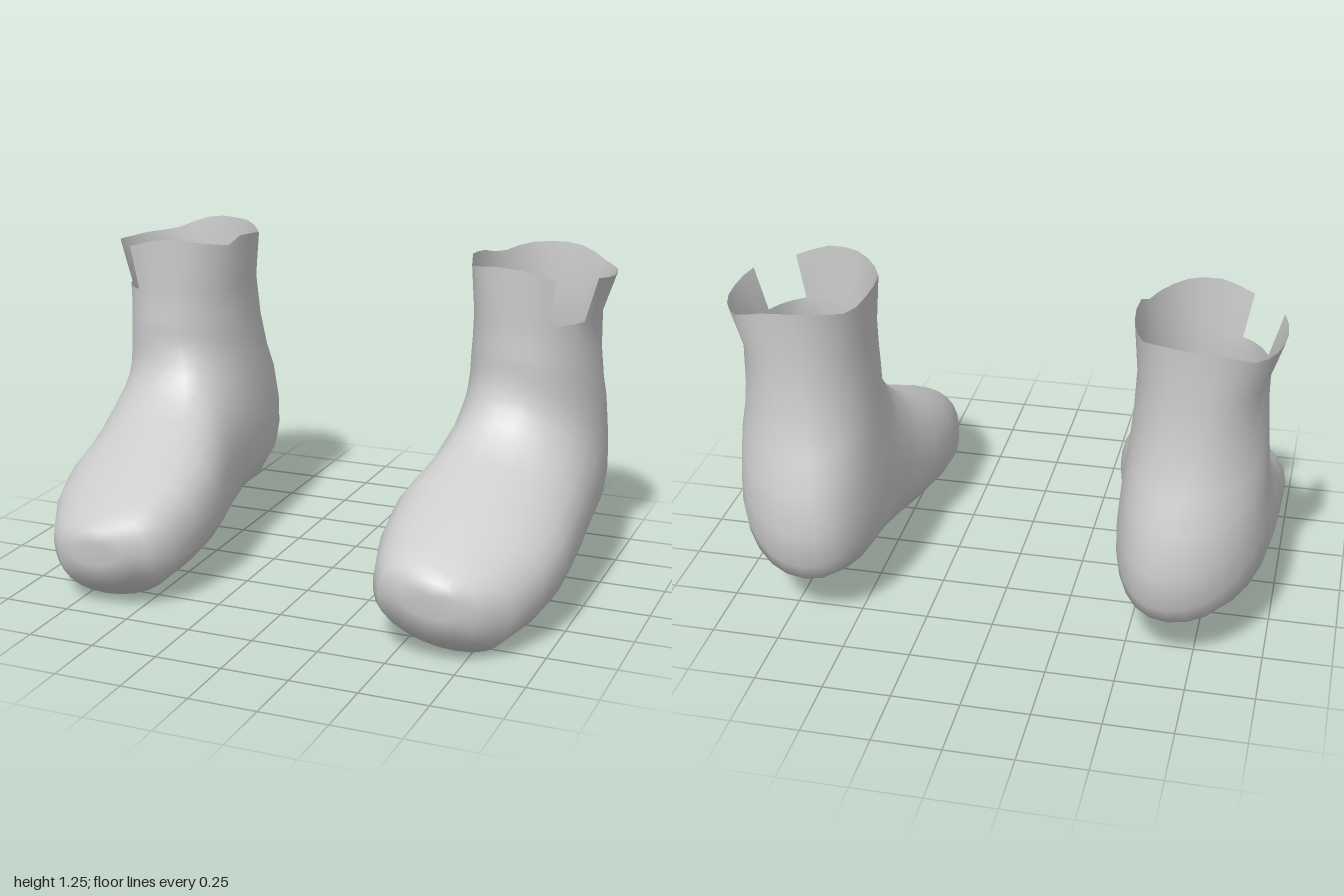
import * as THREE from 'three';

const SIDES = 28;
const NOTCH = [2, 5]; // columns left open in the cuff, front outer side
const ROUNDNESS = 2.15; // 2 is an ellipse, higher is squarer

// Sections from toe to cuff: [top z, top y, bottom z, bottom y, inner x, outer x]
const RINGS = [
  [0.712, 0.31, 0.703, 0.17, 0.53, 0.74],
  [0.67, 0.35, 0.69, 0.09, 0.445, 0.81],
  [0.60, 0.39, 0.56, 0.003, 0.39, 0.895],
  [0.46, 0.46, 0.42, 0.018, 0.355, 0.965],
  [0.32, 0.53, 0.26, 0.035, 0.347, 1.00],
  [0.20, 0.585, 0.08, 0.047, 0.375, 1.00],
  [0.125, 0.635, -0.10, 0.075, 0.405, 1.00],
  [0.08, 0.685, -0.28, 0.117, 0.42, 1.00],
  [0.05, 0.73, -0.51, 0.142, 0.43, 0.995],
  [0.035, 0.77, -0.65, 0.21, 0.435, 0.985],
  [0.025, 0.81, -0.70, 0.29, 0.443, 0.975],
  [0.02, 0.85, -0.715, 0.42, 0.453, 0.967],
  [0.02, 0.89, -0.69, 0.58, 0.465, 0.96],
  [0.02, 0.93, -0.64, 0.69, 0.472, 0.953],
  [0.015, 0.98, -0.60, 0.85, 0.48, 0.945],
  [0.015, 1.04, -0.58, 1.04, 0.485, 0.945],
  [0.02, 1.24, -0.59, 1.24, 0.47, 0.995],
];

// Uneven rim height by angle around the cuff (0 = front, 90 = outer side)
const RIM = [
  [0, 1.245], [25, 1.21], [64, 1.205], [90, 1.19], [137, 1.185], [165, 1.23], [180, 1.24],
  [210, 1.235], [237, 1.205], [257, 1.23], [282, 1.245], [296, 1.215], [340, 1.25], [360, 1.245],
];

function rimHeight(deg) {
  const k = RIM.findIndex((p) => p[0] > deg);
  const [a0, h0] = RIM[k - 1], [a1, h1] = RIM[k];
  return h0 + (h1 - h0) * (deg - a0) / (a1 - a0);
}

// The instep ridge leans inward; the sole swings outward at the toes, inward at the heel
const ridgeShift = (r) => (r > 11 ? 0 : -0.07 * Math.sin(Math.PI * Math.pow(r / 11, 0.7)));
const soleShift = (r) => (r > 14 ? 0 : 0.05 * Math.cos(Math.PI * (r - 2) / 8.5));

function sockGeometry(side) {
  const pos = [], idx = [];
  const tri = (a, b, c) => (side > 0 ? idx.push(a, b, c) : idx.push(a, c, b));
  const round = (v) => Math.sign(v) * Math.pow(Math.abs(v), 2 / ROUNDNESS);

  RINGS.forEach(([tz, ty, bz, by, xIn, xOut], r) => {
    for (let j = 0; j < SIDES; j++) {
      const angle = (j / SIDES) * Math.PI * 2;
      const c = round(Math.cos(angle)), s = round(Math.sin(angle));
      const shift = c * c * (c > 0 ? ridgeShift(r) : soleShift(r));
      const x = (xIn + xOut) / 2 + s * (xOut - xIn) / 2 + shift;
      const z = (tz + bz) / 2 + c * (tz - bz) / 2;
      const y = r === RINGS.length - 1
        ? rimHeight((j / SIDES) * 360)
        : (ty + by) / 2 + c * (ty - by) / 2;
      pos.push(side * x, y, z);
    }
  });

  // Walls between neighbouring sections, skipping the cuff notch
  for (let r = 0; r < RINGS.length - 1; r++) {
    for (let j = 0; j < SIDES; j++) {
      if (r === RINGS.length - 2 && j >= NOTCH[0] && j < NOTCH[1]) continue;
      const n = (j + 1) % SIDES;
      const a = r * SIDES + j, b = r * SIDES + n;
      tri(a, b, a + SIDES);
      tri(b, b + SIDES, a + SIDES);
    }
  }

  // Toe cap
  const tip = pos.length / 3;
  pos.push(side * 0.64, 0.26, 0.718);
  for (let j = 0; j < SIDES; j++) tri(tip, (j + 1) % SIDES, j);

  const geometry = new THREE.BufferGeometry();
  geometry.setAttribute('position', new THREE.Float32BufferAttribute(pos, 3));
  geometry.setIndex(idx);
  geometry.computeVertexNormals();
  return geometry;
}

export function createModel() {
  const model = new THREE.Group();
  model.name = 'socks';
  const fabric = new THREE.MeshStandardMaterial({ color: 0xcccccc, side: THREE.DoubleSide });
  fabric.name = 'light grey fabric';

  for (const [name, side] of [['leftSock', 1], ['rightSock', -1]]) {
    const sock = new THREE.Mesh(sockGeometry(side), fabric);
    sock.name = name;
    model.add(sock);
  }
  return model;
}
